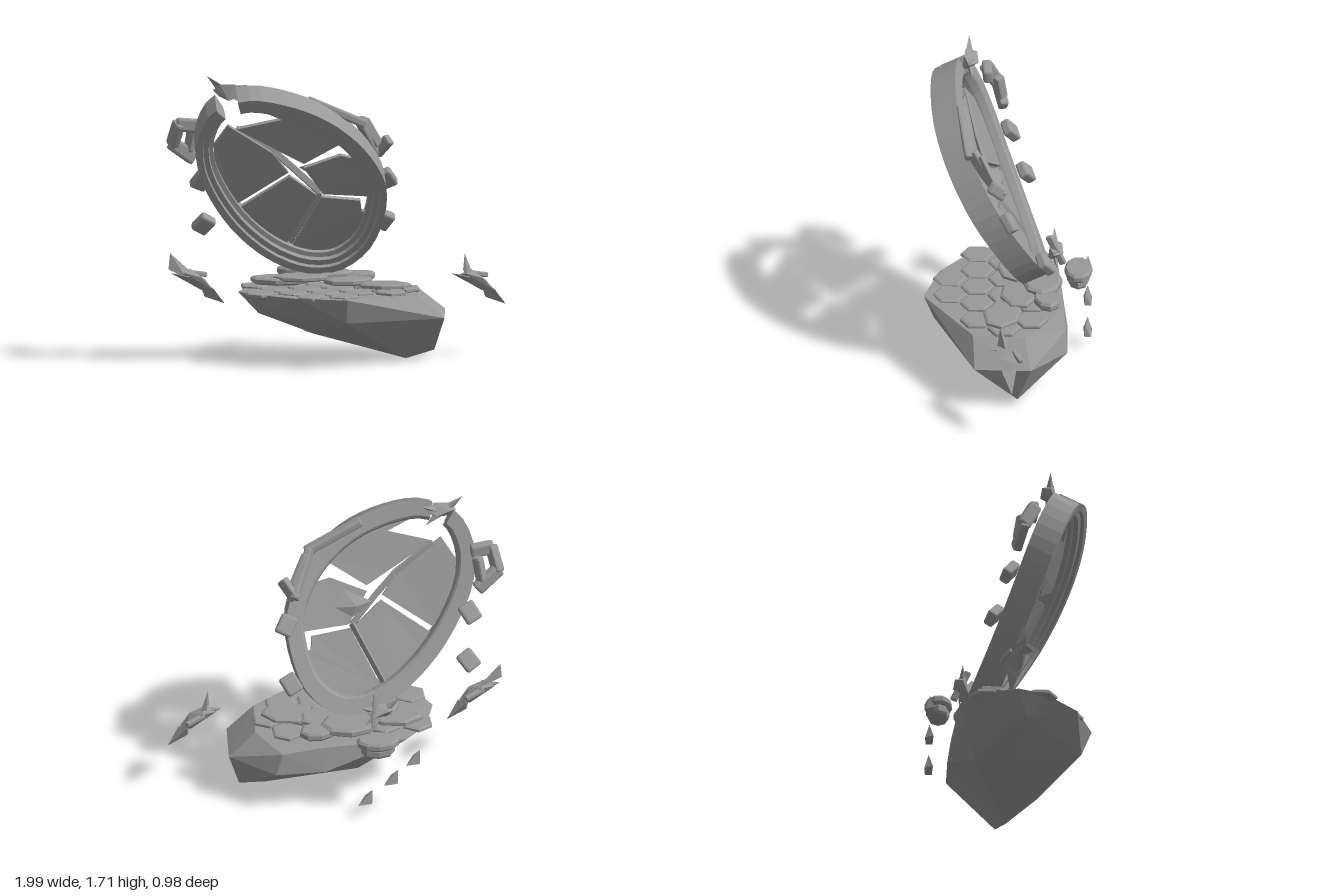
import * as THREE from 'three';
import { ConvexGeometry } from 'three/addons/geometries/ConvexGeometry.js';
import { RoundedBoxGeometry } from 'three/addons/geometries/RoundedBoxGeometry.js';

const V = (x, y, z) => new THREE.Vector3(x, y, z);

export function createModel() {
  const model = new THREE.Group();
  const stone = new THREE.MeshStandardMaterial({ color: 0x999999, flatShading: true, side: THREE.DoubleSide });
  stone.name = 'grey stone';
  const add = (name, geometry) => {
    const mesh = new THREE.Mesh(geometry, stone);
    mesh.name = name;
    model.add(mesh);
    return mesh;
  };
  const hull = (name, pts) => add(name, new ConvexGeometry(pts.map(p => V(...p))));

  // Leaning, slightly twisted sheet of the gate: d is the distance along its normal
  const n = V(0, -0.5, 1).normalize();
  const onGate = (x, y, d) => V(
    x, y + d * n.y,
    0.125 + (y - 1.075) * (0.5 + 0.2 * (x + 0.275)) + d * n.z);

  // Floating island
  hull('island', [
    [-0.575, 0.41, 0.05], [-0.5, 0.41, -0.18], [-0.38, 0.4, -0.29], [0, 0.4, -0.3], [0.15, 0.4, -0.33],
    [0.36, 0.38, -0.34], [0.49, 0.4, -0.1], [0.46, 0.4, 0.2], [0.03, 0.415, 0.49], [-0.26, 0.415, 0.4],
    [-0.5, 0.415, 0.2], [0.65, 0.27, -0.14], [0.62, 0.26, 0.19], [0.4, 0.25, -0.35], [0.11, 0.25, -0.35],
    [0.03, 0.27, 0.43], [-0.46, 0.29, 0.1], [-0.1, 0.17, -0.2], [0.41, 0, 0], [0.58, 0.04, -0.06], [-0.12, 0.15, 0.02],
  ]);

  // Hexagonal paving over the island
  const slab = (name, x, y, z, r, h, sides = 6, depth = 1) => {
    const points = [[0, -h / 2], [r * 0.88, -h / 2], [r, -h / 4], [r, h / 4], [r * 0.88, h / 2], [0, h / 2]];
    const m = add(name, new THREE.LatheGeometry(points.map(p => new THREE.Vector2(...p)), sides));
    m.position.set(x, y, z);
    m.scale.z = depth;
    return m;
  };
  for (let row = -1; row <= 2; row++) {
    for (let col = -3; col <= 2; col++) {
      const x = col * 0.19 + (row % 2 ? 0.095 : 0) + 0.02, z = row * 0.16 + 0.02;
      const inside = x < 0.42 && x > -0.46 && z > -0.28 && z < 0.42 - Math.abs(x + 0.05) * 0.5;
      if (inside) slab('pavingTile', x, 0.412, z, 0.097, 0.028);
    }
  }

  // Loose slabs heaped below the gate
  const heap = [
    [-0.33, 0.455, -0.1, 0.17, 0.04, 7], [-0.05, 0.47, -0.2, 0.17, 0.05, 8], [0.08, 0.45, -0.06, 0.15, 0.035, 7],
    [0.28, 0.435, 0.03, 0.16, 0.03, 7], [-0.2, 0.475, -0.05, 0.16, 0.03, 8], [0.14, 0.455, -0.23, 0.11, 0.05, 8],
  ];
  heap.forEach(([x, y, z, r, h, s], i) => {
    slab('looseSlab', x, y, z, r, h, s, 0.7).rotation.y = (i % 3 - 1) * 0.2;
  });
  slab('driftingSlab', -0.19, 0.465, -0.41, 0.125, 0.05, 10, 0.65);
  slab('driftingSlabBase', -0.19, 0.415, -0.41, 0.1, 0.06, 8, 0.65);

  // Broken oval ring: a stepped section swept round an outline, with a gap at upper left
  const outline = new THREE.CatmullRomCurve3([
    [-0.75, 1.58], [-0.835, 1.39], [-0.825, 1.2], [-0.74, 0.99], [-0.58, 0.76], [-0.366, 0.578], [-0.15, 0.492],
    [0.035, 0.508], [0.195, 0.64], [0.275, 0.855], [0.28, 1.07], [0.195, 1.257], [0.06, 1.417], [-0.125, 1.55],
    [-0.366, 1.64], [-0.553, 1.66],
  ].map(([x, y]) => V(x, 1.075 + (y - 1.075) * 0.94, 0)), true);
  const section = [
    [0, -0.08], [0, 0.08], [0.04, 0.08], [0.045, 0.06], [0.075, 0.06], [0.08, 0.035], [0.105, 0.03],
    [0.105, -0.03], [0.095, -0.07], [0.085, -0.08],
  ];
  const steps = 48, k = section.length, position = [], index = [];
  for (let i = 0; i <= steps; i++) {
    const t = (1 - 0.008 + 0.962 * i / steps) % 1, p = outline.getPointAt(t), tan = outline.getTangentAt(t);
    for (const [inset, d] of section) {
      position.push(...onGate(p.x - tan.y * inset, p.y + tan.x * inset, d).toArray());
    }
    for (let j = 0; j < k && i < steps; j++) {
      const a = i * k + j, b = i * k + (j + 1) % k;
      index.push(a, b, a + k, b, b + k, a + k);
    }
  }
  const caps = THREE.ShapeUtils.triangulateShape(section.map(p => new THREE.Vector2(...p)), []);
  for (const [a, b, c] of caps) index.push(a, b, c, a + steps * k, c + steps * k, b + steps * k);
  const ring = new THREE.BufferGeometry();
  ring.setAttribute('position', new THREE.Float32BufferAttribute(position, 3));
  ring.setIndex(index);
  ring.computeVertexNormals();
  add('brokenRing', ring);

  // Cracked panels inside the ring
  const panels = [
    [[-0.65, 1.42], [-0.39, 1.25], [-0.29, 1.125], [-0.6, 0.92], [-0.72, 1.13], [-0.73, 1.3]],
    [[-0.575, 0.9], [-0.28, 1.1], [-0.12, 0.98], [-0.285, 0.67], [-0.42, 0.68], [-0.53, 0.79]],
    [[-0.09, 0.965], [0.14, 0.94], [0.15, 0.87], [0.21, 0.87], [0.2, 0.78], [0.1, 0.66], [-0.05, 0.6], [-0.25, 0.65]],
    [[-0.2, 1.15], [0.01, 1.23], [0.14, 1.2], [0.22, 1.06], [0.21, 0.965], [-0.08, 0.985]],
    [[-0.6, 1.4], [-0.34, 1.46], [-0.52, 1.54], [-0.3, 1.54], [-0.1, 1.46], [0.05, 1.33], [-0.2, 1.18], [-0.33, 1.25]],
  ];
  for (const pts of panels) {
    const g = new THREE.ExtrudeGeometry(new THREE.Shape(pts.map(p => new THREE.Vector2(...p))), { depth: 0.025, bevelEnabled: false });
    const pos = g.attributes.position;
    for (let i = 0; i < pos.count; i++) {
      const p = onGate(pos.getX(i), pos.getY(i), pos.getZ(i) - 0.02);
      pos.setXYZ(i, p.x, p.y, p.z);
    }
    g.computeVertexNormals();
    add('crackedPanel', g);
  }

  // Bar between two points
  const bar = (name, a, b, w, h) => {
    const m = add(name, new RoundedBoxGeometry(w, h, a.distanceTo(b) + w * 0.5, 1, Math.min(w, h) * 0.25));
    m.position.copy(a).lerp(b, 0.5);
    m.lookAt(b);
  };
  const chain = (name, pts, w, h) => pts.slice(1).forEach((p, i) => bar(name, pts[i], p, w, h));

  // Ribs following the cracks
  const crack = [[-0.6, 1.39], [-0.37, 1.24], [-0.25, 1.13], [-0.1, 0.985], [-0.27, 0.66]];
  chain('crackRib', crack.map(([x, y]) => onGate(x, y, -0.02)), 0.015, 0.04);
  hull('raisedSplinter', [[-0.22, 1.14, 0.06], [-0.06, 1.2, 0.12], [0, 1.12, 0.05], [-0.1, 1.06, 0.03], [-0.12, 1.13, 0.03]]);

  // Brackets hovering round the ring
  chain('leftBracket', [V(-0.82, 1.4, 0.12), V(-0.93, 1.41, 0.13), V(-0.96, 1.29, 0.07), V(-0.84, 1.2, 0.03)], 0.055, 0.08);
  bar('leftBracketInner', V(-0.84, 1.38, 0.06), V(-0.86, 1.25, 0.04), 0.05, 0.06);
  bar('topSlab', V(-0.17, 1.56, 0.27), V(0.14, 1.42, 0.22), 0.06, 0.05);
  chain('rightBracket', [V(0.13, 1.43, 0.2), V(0.18, 1.33, 0.13), V(0.24, 1.22, 0.03), V(0.3, 1.3, 0.09)], 0.045, 0.07);
  bar('rightBracketArm', V(0.16, 1.42, 0.16), V(0.24, 1.28, 0.08), 0.03, 0.06);

  // Slab-like blocks hovering beside the ring
  const blocks = [[-0.785, 1.06, -0.01, -0.5], [-0.765, 0.79, -0.1, -0.6], [0.295, 1.06, -0.01, 0.5], [0.295, 0.785, -0.22, -0.5]];
  for (const [x, y, z, roll] of blocks) {
    const m = add('hoveringBlock', new RoundedBoxGeometry(0.1, 0.12, 0.06, 1, 0.014));
    m.position.set(x, y, z);
    m.rotation.set(0.6, 0, roll);
  }

  // Splintered rock on top of the gap and another behind the foot
  const shards = (name, x, y, z, s) => {
    const at = pts => pts.map(([a, b, c]) => [x + a * s, y + b * s, z + c * s]);
    hull(name + 'Body', at([[-0.09, 0.01, 0], [-0.05, 0.05, 0.02], [0.04, 0.05, 0.03], [0.09, 0.01, 0], [0, -0.05, 0.04], [0.05, -0.04, 0.02], [0.04, 0, -0.06], [-0.05, 0.03, -0.05], [-0.05, -0.03, 0]]));
    hull(name + 'LeftSpike', at([[-0.13, 0.1, 0], [-0.03, 0.04, 0.02], [-0.06, 0, 0], [-0.02, 0.02, -0.03]]));
    hull(name + 'RightSpike', at([[0.12, 0.04, 0], [0.03, 0.04, 0.02], [0.04, -0.02, 0], [0.03, 0.02, -0.03]]));
    hull(name + 'LowerSpike', at([[0.1, -0.08, -0.02], [0.01, -0.03, 0.02], [0.05, -0.01, 0], [0.01, -0.02, -0.03]]));
  };
  shards('crownRock', -0.65, 1.615, 0.23, 0.95);
  shards('footRock', -0.22, 0.58, -0.27, 0.9);
  bar('footSplinter', V(-0.2, 0.68, -0.24), V(-0.18, 0.52, -0.32), 0.03, 0.04);

  // Dagger-shaped rocks drifting at both sides
  const dagger = (side, x, y, z, bladeX) => {
    const at = pts => pts.map(([a, b, c]) => [x + a, y + b, z + c]);
    hull(side + 'RockBody', at([[-0.12, 0.02, 0.02], [-0.07, 0.04, 0.07], [-0.05, -0.02, 0.04], [-0.03, 0.05, -0.05], [0.03, 0.01, 0.05], [0.06, -0.02, -0.07], [0.03, -0.07, 0], [0.1, -0.07, 0.02]]));
    hull(side + 'RockTail', at([[0.17, -0.155, -0.03], [0.1, -0.06, 0.02], [0.06, -0.03, -0.06], [0.02, -0.03, 0.04], [0.05, -0.11, 0]]));
    hull(side + 'RockBlade', at([[bladeX, 0.155, 0.04], [bladeX - 0.01, 0.06, 0.05], [-0.03, 0.04, 0.01], [-0.06, 0.01, 0.06], [-0.06, 0.05, -0.01]]));
    hull(side + 'RockSpur', at([[-0.15, 0.035, 0.03], [-0.05, 0.02, 0.1], [-0.03, 0.02, 0], [-0.07, -0.01, 0.03]]));
    bar(side + 'RockPeg', V(x - 0.04, y + 0.03, z - 0.03), V(x + 0.06, y + 0.01, z - 0.08), 0.03, 0.03);
  };
  dagger('right', 0.825, 0.465, 0, -0.075);
  dagger('left', -0.82, 0.49, 0.03, -0.155);

  // Small crystals falling behind the island
  for (const [x, y] of [[-0.11, 0.125], [-0.26, 0.25], [-0.39, 0.375]]) {
    hull('fallingCrystal', [[x - 0.04, y + 0.05, -0.465], [x - 0.04, y - 0.02, -0.44], [x + 0.03, y - 0.045, -0.445], [x + 0.045, y - 0.04, -0.485], [x - 0.035, y - 0.03, -0.49], [x, y + 0.01, -0.45]]);
  }
  return model;
}
